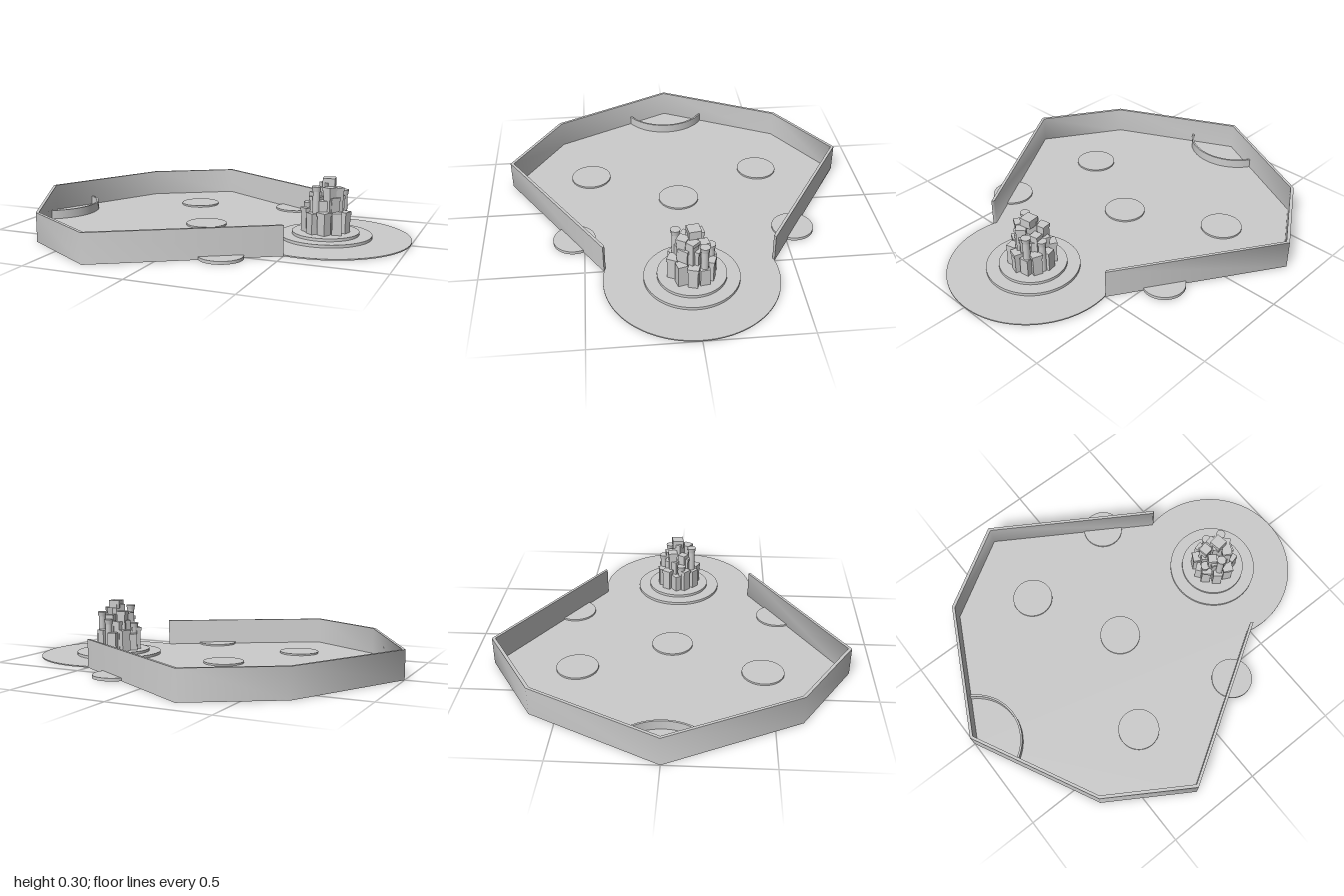
import * as THREE from 'three';
import { toCreasedNormals } from 'three/addons/utils/BufferGeometryUtils.js';

const grey = new THREE.MeshStandardMaterial({ color: 0xcccccc });

function add(parent, name, geometry, x = 0, y = 0, z = 0, turn = 0) {
  const mesh = new THREE.Mesh(geometry, grey);
  mesh.name = name;
  mesh.position.set(x, y, z);
  mesh.rotation.y = turn;
  parent.add(mesh);
  return mesh;
}

// Plan outline raised straight up from y = 0
function raise(shape, height, crease = 1.13) {
  const g = new THREE.ExtrudeGeometry(shape, { depth: height, bevelEnabled: false, curveSegments: 48 });
  g.rotateX(-Math.PI / 2);
  return toCreasedNormals(g, crease);
}

// Seeded generator for the crooked tower blocks
function seeded(seed) {
  return () => {
    seed = (seed * 16807) % 2147483647;
    return seed / 2147483647;
  };
}

export function createModel() {
  const model = new THREE.Group();
  model.name = 'arena';

  // Corners of the walled yard, from one side of the opening to the other
  const corners = [[0.5, 0.41], [-0.27, 0.885], [-0.68, 0.63], [-1, 0],
    [-0.68, -0.63], [-0.27, -0.885], [0.5, -0.41]].map(([x, y]) => new THREE.Vector2(x, y));

  // Floor with a round apron at the opening
  const floor = new THREE.Shape(corners);
  const start = Math.atan2(-0.41, -0.085);
  floor.absarc(0.583, 0, 0.417, start, -start, false);
  add(model, 'floor', raise(floor, 0.006));

  // Thin perimeter wall
  const inner = corners.map(p => new THREE.Vector2(-0.2 + (p.x + 0.2) * 0.98, p.y * 0.98));
  add(model, 'perimeterWall', raise(new THREE.Shape([...corners, ...inner.reverse()]), 0.145));

  // Low curved barrier across the pointed end
  const barrier = new THREE.Shape();
  barrier.absarc(-1, 0, 0.246, -1.1, 1.1, false);
  barrier.absarc(-1, 0, 0.236, 1.1, -1.1, true);
  add(model, 'curvedBarrier', raise(barrier, 0.052, 0.6));

  // Round floor pads
  for (const [x, z] of [[-0.06, 0], [-0.3, 0.46], [-0.3, -0.46], [0.25, 0.55], [0.25, -0.55]]) {
    add(model, 'floorPad', new THREE.CylinderGeometry(0.105, 0.105, 0.015, 48), x, 0.0075, z);
  }

  // Stepped round plinth
  const tower = new THREE.Group();
  tower.name = 'tower';
  tower.position.x = 0.582;
  model.add(tower);
  add(tower, 'lowerStep', new THREE.CylinderGeometry(0.228, 0.228, 0.02, 64), 0, 0.01, 0);
  add(tower, 'upperStep', new THREE.CylinderGeometry(0.165, 0.165, 0.034, 64), 0, 0.017, 0);

  // Tiers of crooked square blocks, some with a wider cap
  const rand = seeded(7431);
  const tiers = [
    { count: 10, radius: 0.09, bottom: 0.034, top: 0.13, size: 0.046 },
    { count: 7, radius: 0.055, bottom: 0.034, top: 0.19, size: 0.046 },
    { count: 5, radius: 0.055, bottom: 0.13, top: 0.24, size: 0.044 },
    { count: 1, radius: 0, bottom: 0.034, top: 0.29, size: 0.05 },
  ];
  tiers.forEach(({ count, radius, bottom, top, size }, tier) => {
    for (let i = 0; i < count; i++) {
      const a = (i + 0.4 * rand()) / count * Math.PI * 2 + tier * 0.5;
      const x = Math.cos(a) * radius, z = Math.sin(a) * radius;
      const end = top + (rand() - 0.6) * 0.03;
      const turn = rand() * Math.PI;
      const block = new THREE.BoxGeometry(size, end - bottom, size);
      add(tower, 'towerBlock', block, x, (bottom + end) / 2, z, turn);
      if (i % 2 === 0 && count > 1) {
        const cap = new THREE.BoxGeometry(size * 1.15, 0.018, size * 1.15);
        add(tower, 'blockCap', cap, x, end + 0.004, z, turn);
      }
    }
  });

  // Small round turrets and the crown
  for (const [x, z, height] of [[-0.085, 0.02, 0.175], [0.075, -0.05, 0.235], [-0.03, 0.075, 0.265], [0.01, -0.085, 0.2]]) {
    add(tower, 'turret', new THREE.CylinderGeometry(0.018, 0.018, height - 0.034, 12), x, (height + 0.034) / 2, z);
    add(tower, 'turretCap', new THREE.CylinderGeometry(0.024, 0.02, 0.025, 12), x, height - 0.01, z);
  }
  add(tower, 'crown', new THREE.BoxGeometry(0.06, 0.042, 0.06), 0.012, 0.279, -0.005, 0.15);
  return model;
}
